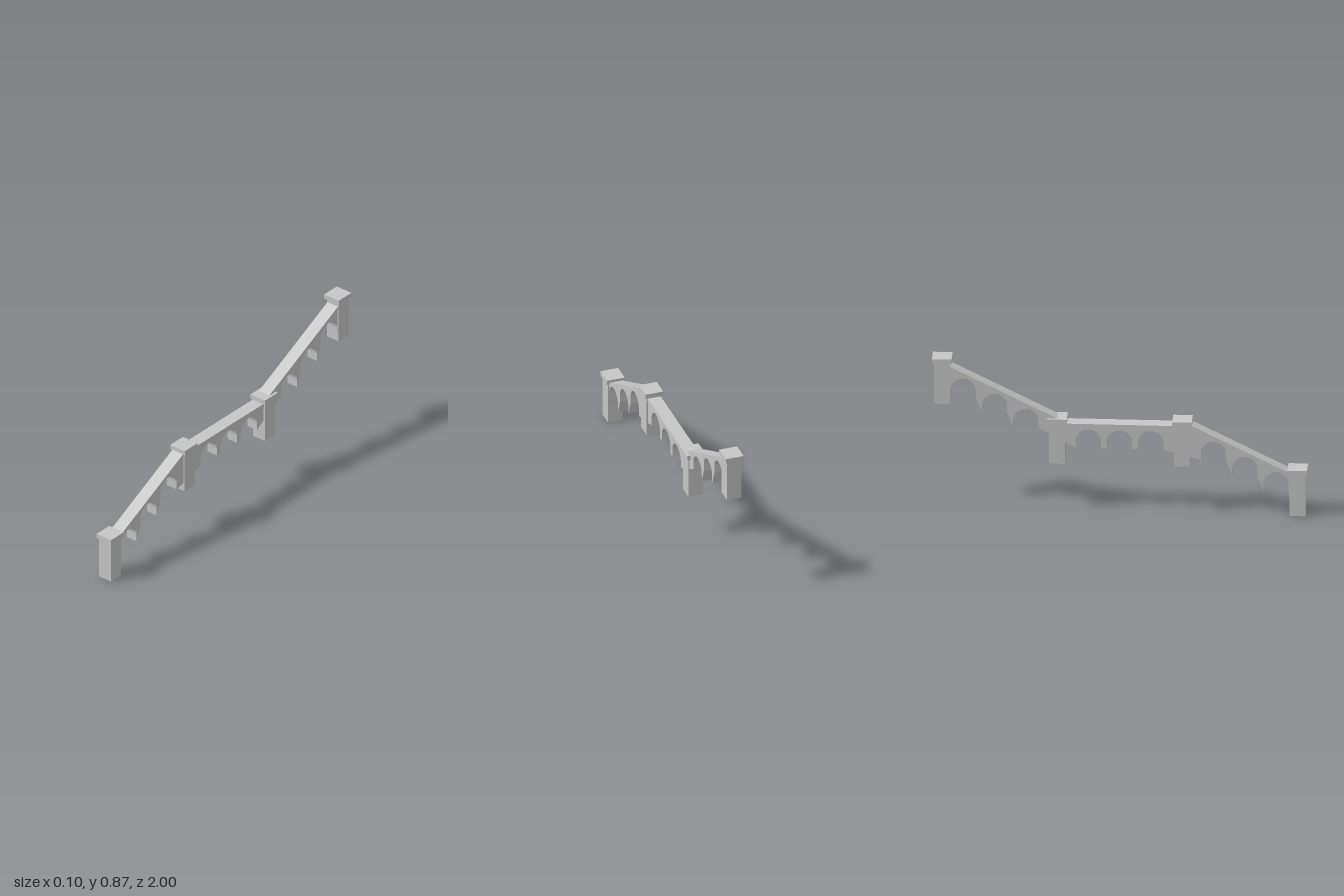
import * as THREE from 'three';

export function createModel() {
  const group = new THREE.Group();
  const stone = new THREE.MeshStandardMaterial({ color: 0xc6c6c6 });
  stone.name = 'stone grey';

  const add = (name, geometry) => {
    const mesh = new THREE.Mesh(geometry, stone);
    mesh.name = name;
    group.add(mesh);
    return mesh;
  };

  // Extrudes a side profile drawn in (z, y) across the bridge width
  const extrudeAcross = (shape, width) =>
    new THREE.ExtrudeGeometry(shape, { depth: width, bevelEnabled: false, curveSegments: 14 })
      .translate(0, 0, -width / 2)
      .rotateY(-Math.PI / 2);

  // Pillars with overhanging caps, climbing toward the back
  const pillars = [[0.947, 0], [0.333, 0.273], [-0.333, 0.273], [-0.947, 0.605]];
  const pillarTops = [0.24, 0.506, 0.506, 0.84];
  pillars.forEach(([z, bottom], i) => {
    const height = pillarTops[i] - bottom;
    add('pillar', new THREE.BoxGeometry(0.081, height, 0.085))
      .position.set(0, bottom + height / 2, z);
    add('pillarCap', new THREE.BoxGeometry(0.101, 0.027, 0.105))
      .position.set(0, pillarTops[i] + 0.0135, z);
  });

  // Deck height: two sloped spans with a level span between
  const third = 1 / 3;
  const lowerTop = (z) => 0.533 - 0.5 * (z - third);
  const upperTop = (z) => 0.534 + 0.5 * (-third - z);
  const middleTop = () => 0.505;
  const deck = 0.02;

  // Arcade wall: nine level arches stepping up with the deck
  const r = 0.067;
  const archHeight = 0.107;
  const wall = new THREE.Shape();
  wall.moveTo(0.905, 0.1);
  for (const k of [5, 4, 3, 1, 0, -1, -3, -4, -5]) {
    const z = k / 6;
    const top = (k > 1 ? lowerTop : k < -1 ? upperTop : middleTop)(z) - 0.033;
    const spring = top - r;
    wall.lineTo(z + r, top - archHeight);
    wall.lineTo(z + r, spring);
    wall.absarc(z, spring, r, 0, Math.PI, false);
    wall.lineTo(z - r, top - archHeight);
  }
  wall.lineTo(-0.905, 0.68);
  wall.lineTo(-0.905, upperTop(-0.905) - deck);
  wall.lineTo(-third, upperTop(-third) - deck);
  wall.lineTo(-third - 0.001, middleTop() - deck);
  wall.lineTo(third + 0.001, middleTop() - deck);
  wall.lineTo(third, lowerTop(third) - deck);
  wall.lineTo(0.905, lowerTop(0.905) - deck);
  add('arcadeWall', extrudeAcross(wall, 0.066));

  // Deck slabs laid end to end on each span
  const spans = [
    ['lowerDeckSlab', lowerTop, [0.91, 0.87, 0.735, 0.6, 0.46, third]],
    ['middleDeckSlab', middleTop, [third, 0.27, 0.13, -0.13, -0.27, -third]],
    ['upperDeckSlab', upperTop, [-third, -0.46, -0.6, -0.735, -0.87, -0.91]],
  ];
  for (const [name, top, cuts] of spans) {
    for (let i = 0; i < cuts.length - 1; i++) {
      const [a, b] = [cuts[i], cuts[i + 1]];
      const slab = new THREE.Shape([
        new THREE.Vector2(a, top(a) - deck),
        new THREE.Vector2(a, top(a)),
        new THREE.Vector2(b, top(b)),
        new THREE.Vector2(b, top(b) - deck),
      ]);
      add(name, extrudeAcross(slab, 0.073));
    }
  }

  return group;
}
